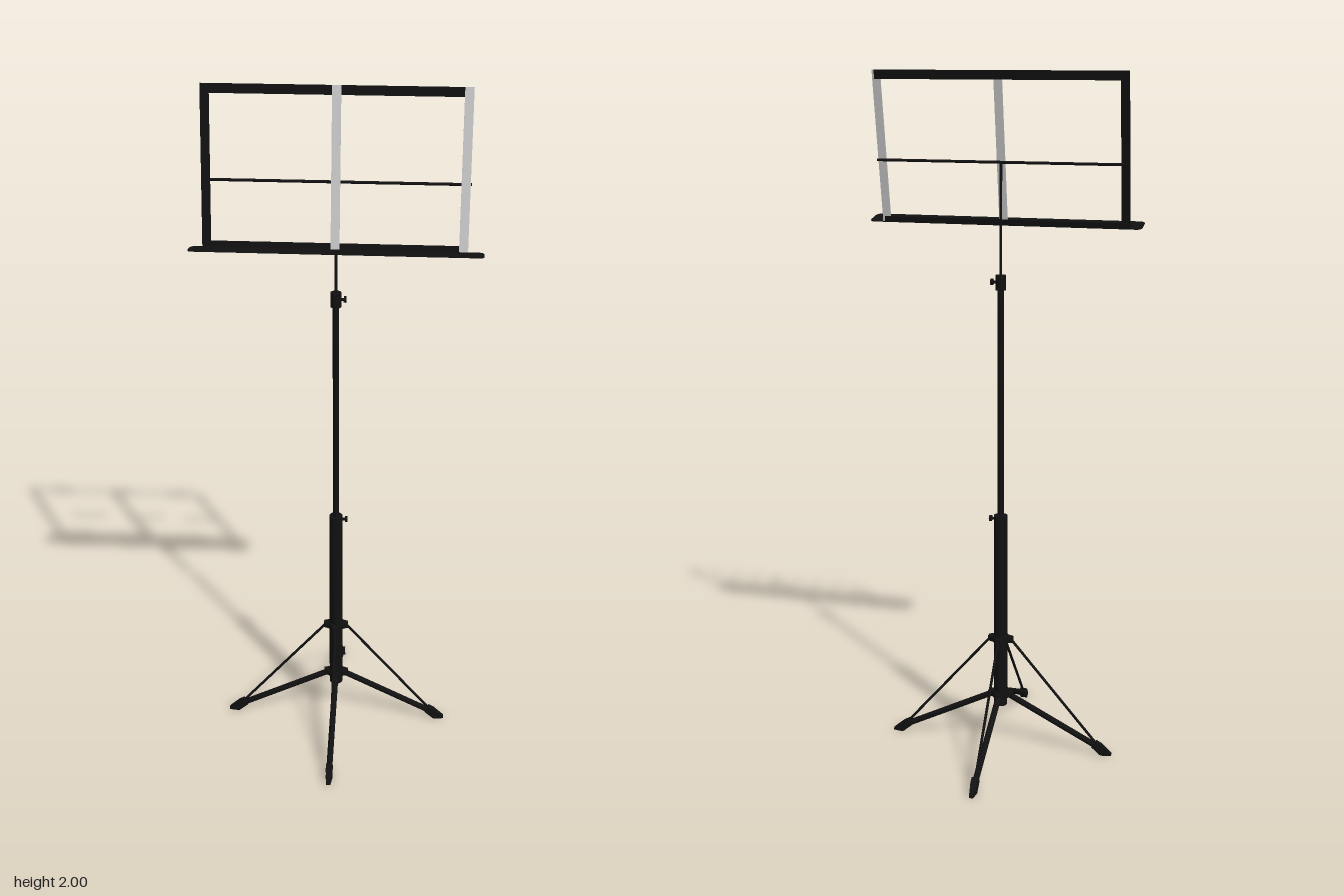
import * as THREE from 'three';

const black = new THREE.MeshStandardMaterial({ color: 0x111111, side: THREE.DoubleSide });
const grey = new THREE.MeshStandardMaterial({ color: 0xcccccc, side: THREE.DoubleSide });
const CX = -0.004; // axis of the column

function add(parent, name, geometry, x = 0, y = 0, z = 0, material = black) {
  const mesh = new THREE.Mesh(geometry, material);
  mesh.name = name;
  mesh.position.set(x, y, z);
  parent.add(mesh);
  return mesh;
}

// Round bar between two points, tapering from r0 to r1
function bar(parent, name, from, to, r0, r1 = r0, sides = 16) {
  const a = new THREE.Vector3(...from), b = new THREE.Vector3(...to);
  const dir = b.clone().sub(a);
  const mesh = add(parent, name, new THREE.CylinderGeometry(r1, r0, dir.length(), sides));
  mesh.position.copy(a).add(b).multiplyScalar(0.5);
  mesh.quaternion.setFromUnitVectors(new THREE.Vector3(0, 1, 0), dir.normalize());
  return mesh;
}

function createDesk() {
  const desk = new THREE.Group();
  desk.name = 'desk';
  desk.position.set(0, 1.58, 0.033);
  desk.rotation.x = -0.168;
  const H = 0.426, T = 0.002;

  // Flat strips of the frame
  add(desk, 'leftUpright', new THREE.BoxGeometry(0.024, H, T), 0.338, H / 2, 0, grey);
  add(desk, 'middleUpright', new THREE.BoxGeometry(0.024, H, T), CX, H / 2, 0.0005, grey);
  add(desk, 'rightUpright', new THREE.BoxGeometry(0.024, H, T), -0.349, H / 2, 0);
  add(desk, 'topRail', new THREE.BoxGeometry(0.7, 0.025, T), -0.006, H - 0.0125, -0.0005);
  add(desk, 'bottomRail', new THREE.BoxGeometry(0.7, 0.016, T), -0.006, 0.008, -0.0005);
  bar(desk, 'crossRod', [-0.35, 0.178, -0.003], [0.353, 0.178, -0.003], 0.004);

  // Shelf with rounded ends
  const w = 0.392, d = 0.074, c = 0.016, e = 0.022;
  const s = new THREE.Shape();
  s.moveTo(-w + c, 0);
  s.lineTo(w - c, 0);
  s.quadraticCurveTo(w, 0, w, e);
  s.lineTo(w, d - e);
  s.quadraticCurveTo(w, d, w - c, d);
  s.lineTo(-w + c, d);
  s.quadraticCurveTo(-w, d, -w, d - e);
  s.lineTo(-w, e);
  s.quadraticCurveTo(-w, 0, -w + c, 0);
  const shelf = new THREE.ExtrudeGeometry(s, { depth: T, bevelEnabled: false });
  shelf.rotateX(Math.PI / 2);
  add(desk, 'shelf', shelf);
  return desk;
}

function createColumn() {
  const column = new THREE.Group();
  column.name = 'column';
  column.position.x = CX;
  bar(column, 'topRod', [0, 1.4, 0], [0, 1.758, 0], 0.004);
  bar(column, 'middleTube', [0, 0.7, 0], [0, 1.42, 0], 0.009);
  bar(column, 'lowerTube', [0, 0.13, 0], [0, 0.735, 0], 0.02, 0.02, 24);
  bar(column, 'upperCollar', [0, 1.402, 0], [0, 1.444, 0], 0.015, 0.015, 24);

  // Clamp screws
  for (const [y, x] of [[1.424, 0.013], [0.724, 0.018]]) {
    bar(column, 'clampScrew', [x, y, 0], [x + 0.012, y, 0], 0.004);
    bar(column, 'clampKnob', [x + 0.009, y, 0], [x + 0.016, y, 0], 0.009);
  }

  // Hubs that carry the legs and braces
  for (const y of [0.165, 0.345]) {
    bar(column, 'hub', [0, y - 0.01, 0], [0, y + 0.01, 0], 0.024, 0.024, 24);
  }
  return column;
}

function createLeg() {
  const leg = new THREE.Group();
  leg.name = 'leg';
  bar(leg, 'legTube', [0.03, 0.161, 0], [0.31, 0.019, 0], 0.009);
  bar(leg, 'brace', [0.03, 0.347, 0], [0.305, 0.024, 0], 0.004, 0.004, 10);

  // Hinge lugs, narrowing outwards from the hubs
  for (const y of [0.165, 0.345]) {
    const lug = new THREE.Shape();
    lug.moveTo(0.01, -0.022);
    lug.quadraticCurveTo(0.022, -0.012, 0.037, -0.008);
    lug.lineTo(0.037, 0.008);
    lug.quadraticCurveTo(0.022, 0.012, 0.01, 0.022);
    const g = new THREE.ExtrudeGeometry(lug, { depth: 0.016, bevelEnabled: false });
    g.rotateX(Math.PI / 2);
    add(leg, 'hingeLug', g, 0, y + 0.008, 0);
  }

  // Rubber foot: flat sole, tapering to the tip
  const side = new THREE.Shape();
  side.moveTo(0.284, 0.024);
  side.lineTo(0.296, 0.041);
  side.lineTo(0.312, 0.032);
  side.lineTo(0.343, 0.006);
  side.lineTo(0.343, 0);
  side.lineTo(0.312, 0);
  const foot = new THREE.ExtrudeGeometry(side, { depth: 0.02, bevelEnabled: false });
  foot.translate(0, 0, -0.01);
  const p = foot.attributes.position;
  for (let i = 0; i < p.count; i++) {
    const t = Math.max(0, (p.getX(i) - 0.312) / 0.031);
    p.setZ(i, p.getZ(i) * (1 - 0.4 * t));
  }
  foot.computeVertexNormals();
  add(leg, 'foot', foot);
  return leg;
}

export function createModel() {
  const model = new THREE.Group();
  model.name = 'musicStand';
  model.add(createDesk(), createColumn());
  for (let i = 0; i < 4; i++) {
    const leg = createLeg();
    leg.position.x = CX;
    leg.rotation.y = i * Math.PI / 2;
    model.add(leg);
  }
  return model;
}
